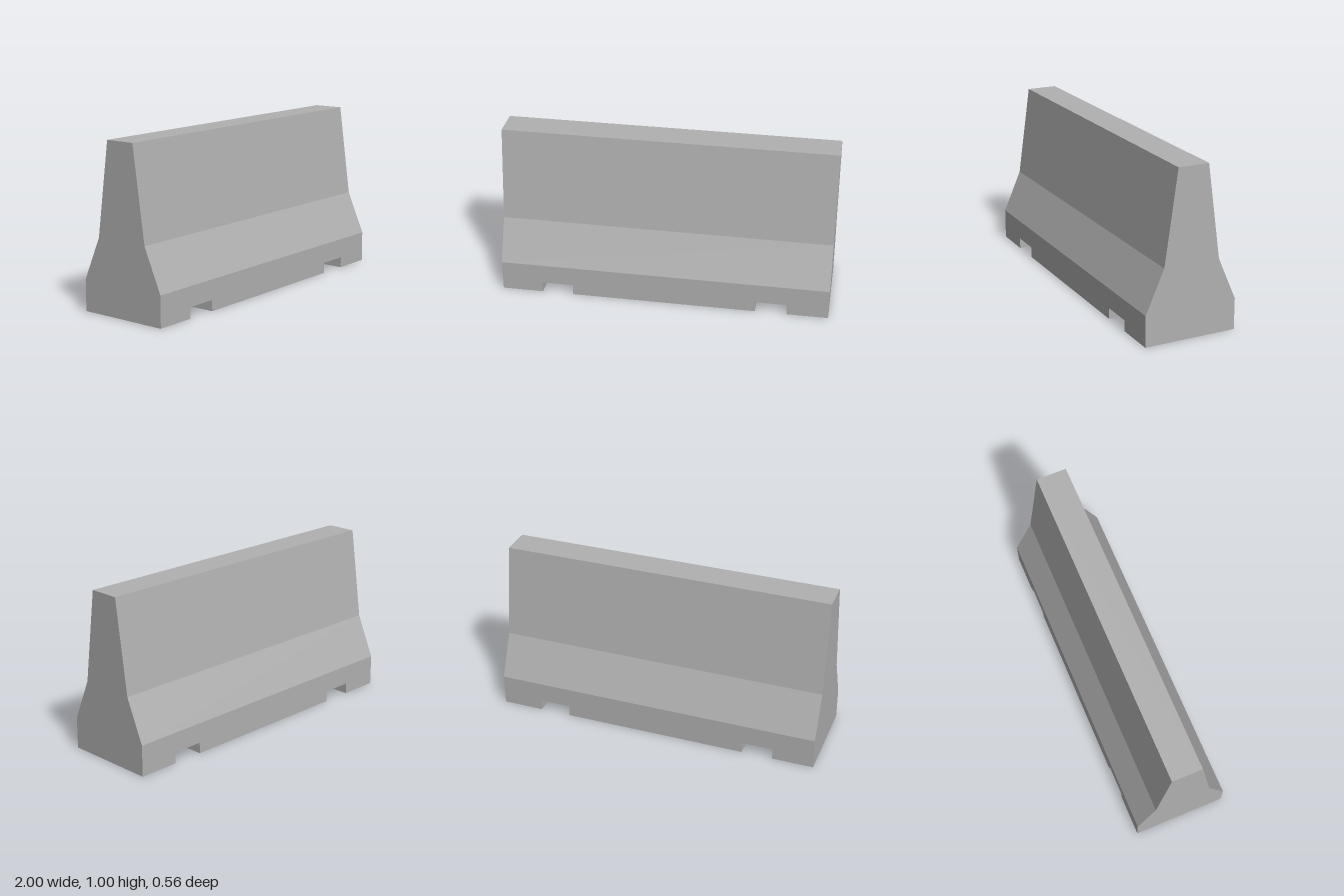
import * as THREE from 'three';

const LENGTH = 2, HEIGHT = 1;
const BASE_Y = 0.187, WAIST_Y = 0.443;                    // heights of the profile breaks
const BASE_Z = 0.282, WAIST_Z = 0.171, TOP_Z = 0.093;     // half depths at the breaks
const NOTCH_IN = 0.56, NOTCH_OUT = 0.75, NOTCH_H = 0.066;

function extrude(points, depth) {
  const shape = new THREE.Shape(points.map(([x, y]) => new THREE.Vector2(x, y)));
  return new THREE.ExtrudeGeometry(shape, { depth, bevelEnabled: false }).translate(0, 0, -depth / 2);
}

// Removes the hidden faces where the two parts meet
function dropFacesAt(geometry, y) {
  const p = geometry.attributes.position, kept = [];
  for (let i = 0; i < p.count; i += 3) {
    const onSeam = [0, 1, 2].every(k => Math.abs(p.getY(i + k) - y) < 1e-4);
    if (!onSeam) kept.push(i, i + 1, i + 2);
  }
  geometry.clearGroups();
  geometry.setIndex(kept);
  return geometry;
}

export function createModel() {
  const group = new THREE.Group();
  group.name = 'roadBarrier';
  const concrete = new THREE.MeshStandardMaterial({ color: 0xb0b0b0 });
  concrete.name = 'concrete';

  const add = (name, geometry) => {
    const mesh = new THREE.Mesh(geometry, concrete);
    mesh.name = name;
    group.add(mesh);
  };

  // Base with two drainage slots running front to back
  const half = LENGTH / 2;
  add('slottedBase', dropFacesAt(extrude([
    [-half, 0], [-NOTCH_OUT, 0], [-NOTCH_OUT, NOTCH_H], [-NOTCH_IN, NOTCH_H], [-NOTCH_IN, 0],
    [NOTCH_IN, 0], [NOTCH_IN, NOTCH_H], [NOTCH_OUT, NOTCH_H], [NOTCH_OUT, 0], [half, 0],
    [half, BASE_Y], [-half, BASE_Y],
  ], BASE_Z * 2), BASE_Y));

  // Sloped wall: side profile extruded along the barrier's length
  add('slopedWall', dropFacesAt(extrude([
    [-BASE_Z, BASE_Y], [BASE_Z, BASE_Y], [WAIST_Z, WAIST_Y],
    [TOP_Z, HEIGHT], [-TOP_Z, HEIGHT], [-WAIST_Z, WAIST_Y],
  ], LENGTH).rotateY(Math.PI / 2), BASE_Y));

  return group;
}
